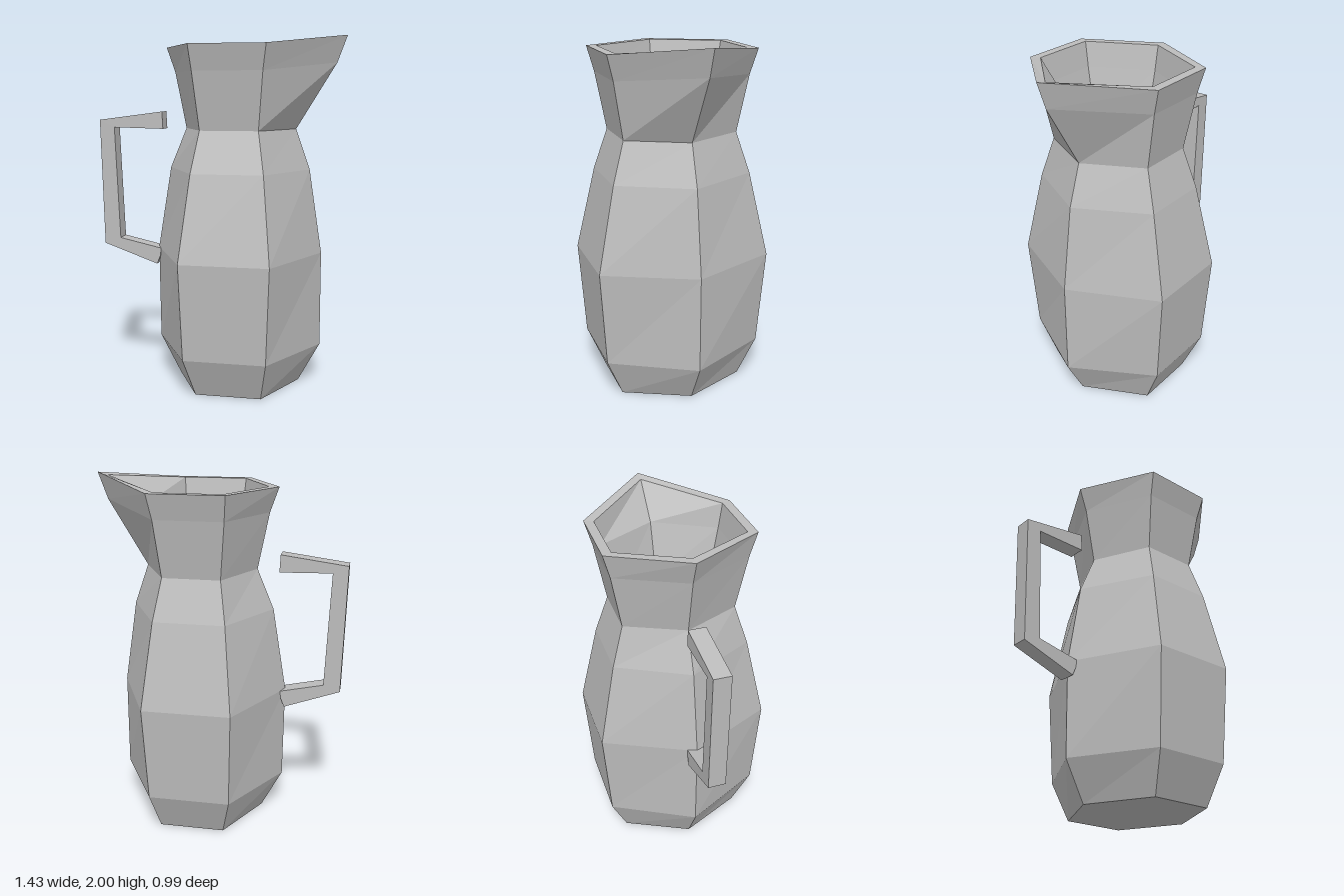
import * as THREE from 'three';

// Six-sided section: y, x of left tip, side-left, side-right, lip tip, half depth, y of lip tip
function section([y, left, sideL, sideR, lip, depth, lipY = y]) {
  return [
    [sideR, y, depth], [lip, lipY, 0], [sideR, y, -depth],
    [sideL, y, -depth], [left, y, 0], [sideL, y, depth],
  ];
}

// Skin a list of sections, closing the first and last
function loft(rows) {
  const rings = rows.map(section);
  const positions = rings.flat(2);
  const index = [];
  for (let r = 0; r < rings.length - 1; r++) {
    for (let i = 0; i < 6; i++) {
      const j = (i + 1) % 6;
      const a = r * 6 + i, b = r * 6 + j, c = b + 6, d = a + 6;
      index.push(a, b, c, a, c, d);
    }
  }
  const last = (rings.length - 1) * 6;
  for (let i = 1; i < 5; i++) {
    index.push(0, i + 1, i);
    index.push(last, last + i, last + i + 1);
  }
  const indexed = new THREE.BufferGeometry();
  indexed.setAttribute('position', new THREE.Float32BufferAttribute(positions, 3));
  indexed.setIndex(index);
  const geometry = indexed.toNonIndexed();
  geometry.computeVertexNormals();
  return geometry;
}

export function createModel() {
  const group = new THREE.Group();
  group.name = 'pitcher';
  const clay = new THREE.MeshStandardMaterial({ color: 0xbcbcbc, flatShading: true });
  clay.name = 'grey clay';

  // Jug: outer wall upward, over the rim, then the inner wall down to the floor
  const jug = new THREE.Mesh(loft([
    [0, -0.25, -0.075, 0.295, 0.465, 0.36],
    [0.225, -0.37, -0.125, 0.335, 0.588, 0.457],
    [0.77, -0.378, -0.14, 0.357, 0.588, 0.496],
    [1.25, -0.3, -0.092, 0.307, 0.515, 0.395],
    [1.48, -0.205, -0.055, 0.268, 0.435, 0.325],
    [1.8, -0.27, -0.085, 0.298, 0.66, 0.382, 1.85],
    [1.94, -0.32, -0.098, 0.32, 0.715, 0.42, 2],
    [1.94, -0.262, -0.075, 0.295, 0.655, 0.368, 1.985],
    [1.8, -0.235, -0.063, 0.283, 0.475, 0.342],
    [1.48, -0.16, -0.03, 0.245, 0.38, 0.27],
    [1.25, -0.245, -0.065, 0.28, 0.46, 0.345],
    [0.77, -0.325, -0.115, 0.33, 0.533, 0.445],
    [0.225, -0.315, -0.1, 0.31, 0.533, 0.405],
    [0.06, -0.22, -0.06, 0.28, 0.43, 0.33],
  ]), clay);
  jug.name = 'jug';
  group.add(jug);

  // Handle: angular bracket of constant thickness
  const outline = [
    [-0.34, 1.575], [-0.718, 1.525], [-0.698, 0.79], [-0.378, 0.675], [-0.358, 0.725],
    [-0.353, 0.77], [-0.602, 0.825], [-0.63, 1.482], [-0.335, 1.475],
  ].map(([x, y]) => new THREE.Vector2(x, y));
  const handleGeometry = new THREE.ExtrudeGeometry(new THREE.Shape(outline), { depth: 0.1, bevelEnabled: false });
  handleGeometry.translate(0, 0, -0.05);
  const handle = new THREE.Mesh(handleGeometry, clay);
  handle.name = 'handle';
  group.add(handle);

  return group;
}
